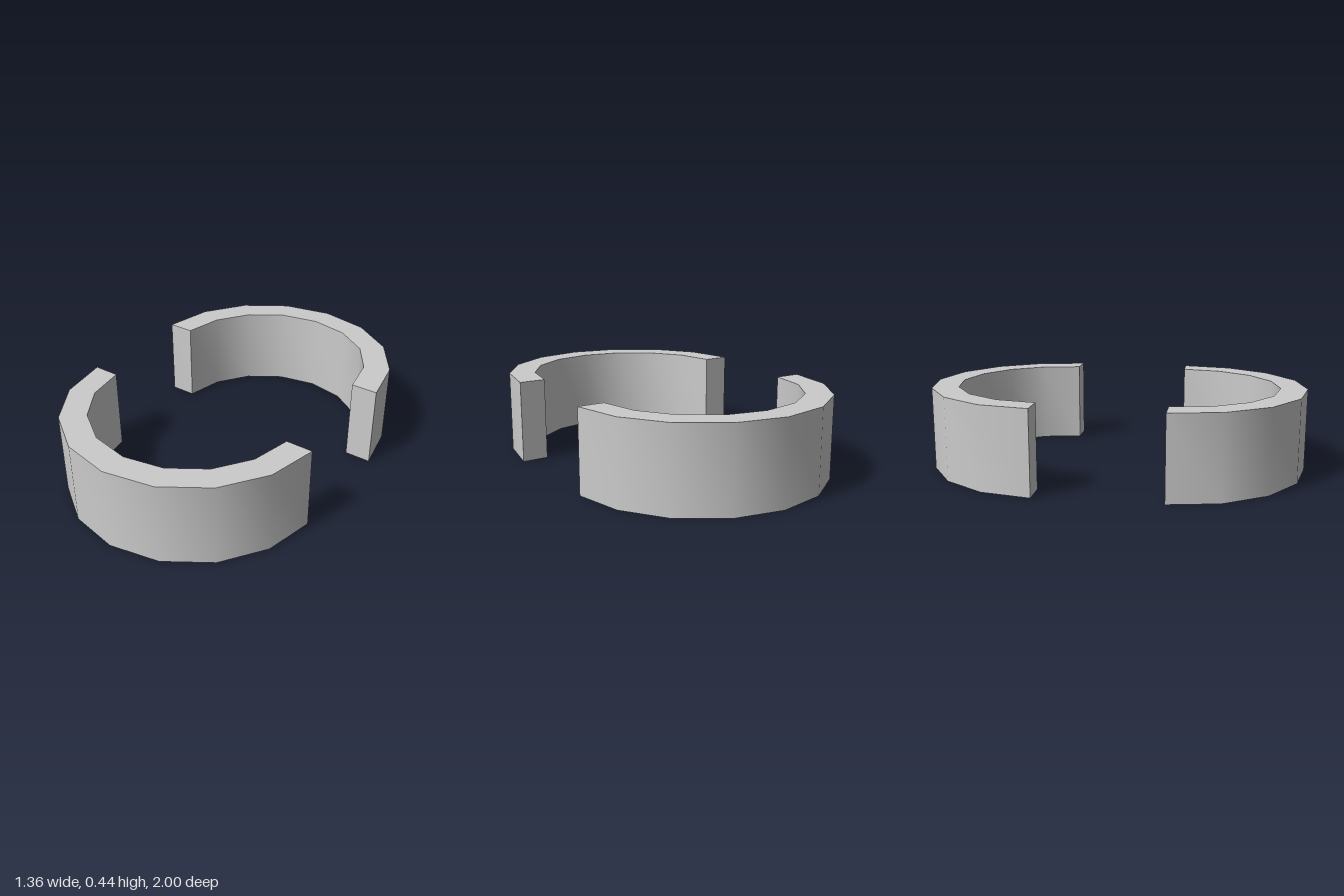
import * as THREE from 'three';
import { toCreasedNormals } from 'three/addons/utils/BufferGeometryUtils.js';

const OUTER = 0.68, INNER = 0.54, HEIGHT = 0.435, OFFSET = 0.32;

// Half ring of eight segments, lying flat and bulging towards +z
function halfRingGeometry() {
  const shape = new THREE.Shape();
  shape.absarc(0, 0, OUTER, 0, Math.PI, false);
  shape.absarc(0, 0, INNER, Math.PI, 0, true);
  shape.closePath();
  const geometry = new THREE.ExtrudeGeometry(shape, {
    depth: HEIGHT,
    curveSegments: 4, // an arc gets twice this many segments
    bevelEnabled: false,
  });
  geometry.rotateX(-Math.PI / 2).rotateY(Math.PI);
  geometry.translate(0, 0, OFFSET);
  // Smooth curved walls, sharp rims and ends
  return toCreasedNormals(geometry, 0.6);
}

export function createModel() {
  const group = new THREE.Group();
  group.name = 'splitRing';
  const material = new THREE.MeshStandardMaterial({ color: 0xcccccc });
  const geometry = halfRingGeometry();

  // Two facing halves with a gap between them
  ['frontHalfRing', 'backHalfRing'].forEach((name, i) => {
    const half = new THREE.Mesh(geometry, material);
    half.name = name;
    half.rotation.y = i * Math.PI;
    group.add(half);
  });
  return group;
}
